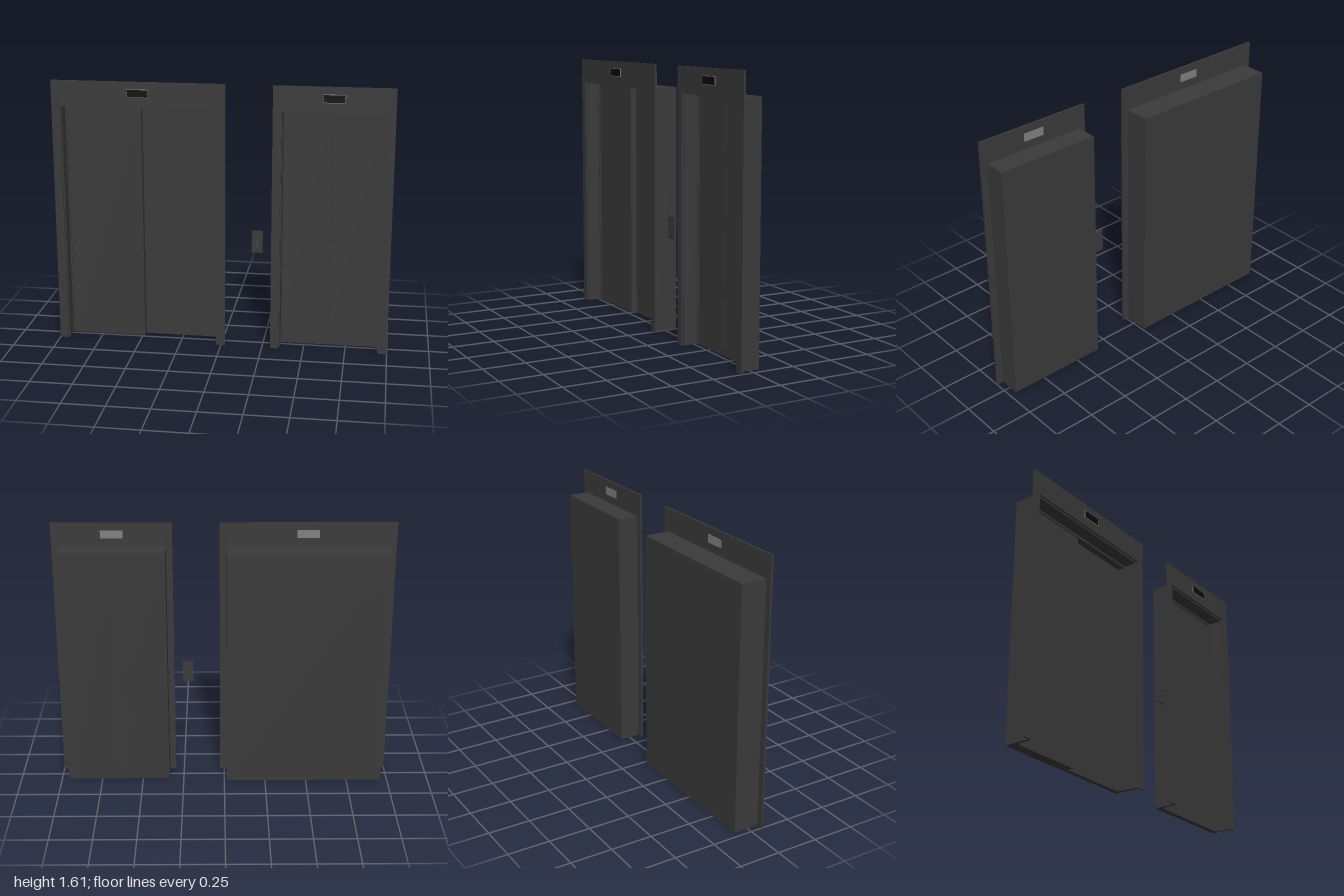
import * as THREE from 'three';

const dark = new THREE.MeshStandardMaterial({ color: 0x3a3a3a });
const black = new THREE.MeshStandardMaterial({ color: 0x0a0a0a });
const grey = new THREE.MeshStandardMaterial({ color: 0x808080 });

const FRONT = 0.08, PLATE = 0.068;

function add(parent, name, geometry, material = dark) {
  const mesh = new THREE.Mesh(geometry, material);
  mesh.name = name;
  parent.add(mesh);
  return mesh;
}

// Box given by its limits on each axis
function block(parent, name, [x0, x1], [y0, y1], [z0, z1], material) {
  const mesh = add(parent, name, new THREE.BoxGeometry(x1 - x0, y1 - y0, z1 - z0), material);
  mesh.position.set((x0 + x1) / 2, (y0 + y1) / 2, (z0 + z1) / 2);
  return mesh;
}

// Door surround: two legs and a head, open at the floor
function arch(parent, name, [x0, x1], top, [i0, i1], innerTop, [z0, z1]) {
  const points = [[x0, 0], [i0, 0], [i0, innerTop], [i1, innerTop], [i1, 0], [x1, 0], [x1, top], [x0, top]];
  const shape = new THREE.Shape(points.map(p => new THREE.Vector2(...p)));
  const geometry = new THREE.ExtrudeGeometry(shape, { depth: z1 - z0, bevelEnabled: false });
  geometry.translate(0, 0, z0);
  return add(parent, name, geometry);
}

function elevator(name, { plate, shell, opening, back, seam, doorZ }) {
  const g = new THREE.Group();
  g.name = name;
  const [o0, o1] = opening;
  const lipZ = Math.max(...doorZ) + 0.008;

  // Wall plate and the deep casing behind it
  arch(g, 'wallPlate', plate, 1.605, opening, 1.46, [PLATE, FRONT]);
  arch(g, 'casing', shell, 1.466, [o0 + 0.008, o1 - 0.008], 1.45, [back, PLATE]);
  arch(g, 'doorLip', [o0, o1], 1.455, [o0 + 0.017, o1 - 0.017], 1.437, [back + 0.002, lipZ]);

  // Sliding doors, with a narrow groove where they meet
  block(g, 'leftPanelDoor', [o0 + 0.01, seam - 0.002], [0, 1.445], [back, doorZ[0]]);
  block(g, 'rightPanelDoor', [seam + 0.002, o1 - 0.01], [0, 1.445], [back, doorZ[1]]);
  block(g, 'backPanel', [o0, o1], [0, 1.46], [back, Math.min(...doorZ) - 0.008]);

  // Floor indicator above the doors
  const c = (plate[0] + plate[1]) / 2;
  block(g, 'indicatorHousing', [c - 0.065, c + 0.065], [1.513, 1.562], [PLATE - 0.001, 0.084], grey);
  block(g, 'indicatorScreen', [c - 0.062, c + 0.062], [1.516, 1.559], [0.08, 0.085], black);
  return g;
}

function callPanel() {
  const g = new THREE.Group();
  g.name = 'callPanel';
  block(g, 'panelPlate', [0.185, 0.25], [0.603, 0.737], [PLATE, 0.076]);
  for (const y of [0.69, 0.652]) {
    const ring = add(g, 'buttonRing', new THREE.TorusGeometry(0.013, 0.0018, 6, 24));
    ring.position.set(0.2175, y, 0.076);
    const button = add(g, 'callButton', new THREE.CylinderGeometry(0.01, 0.01, 0.004, 24));
    button.rotation.x = Math.PI / 2;
    button.position.set(0.2175, y, 0.076);
  }
  return g;
}

export function createModel() {
  const model = new THREE.Group();
  model.name = 'elevatorDoors';
  // Wide car with overlapping doors, narrow car with centre-opening doors
  model.add(elevator('wideElevator', {
    plate: [-1, 0.026], shell: [-0.96, -0.014], opening: [-0.95, -0.024],
    back: -0.085, seam: -0.485, doorZ: [-0.02, -0.055],
  }));
  model.add(elevator('narrowElevator', {
    plate: [0.3, 1], shell: [0.338, 0.958], opening: [0.348, 0.95],
    back: -0.058, seam: 0.65, doorZ: [-0.025, -0.025],
  }));
  model.add(callPanel());
  return model;
}
